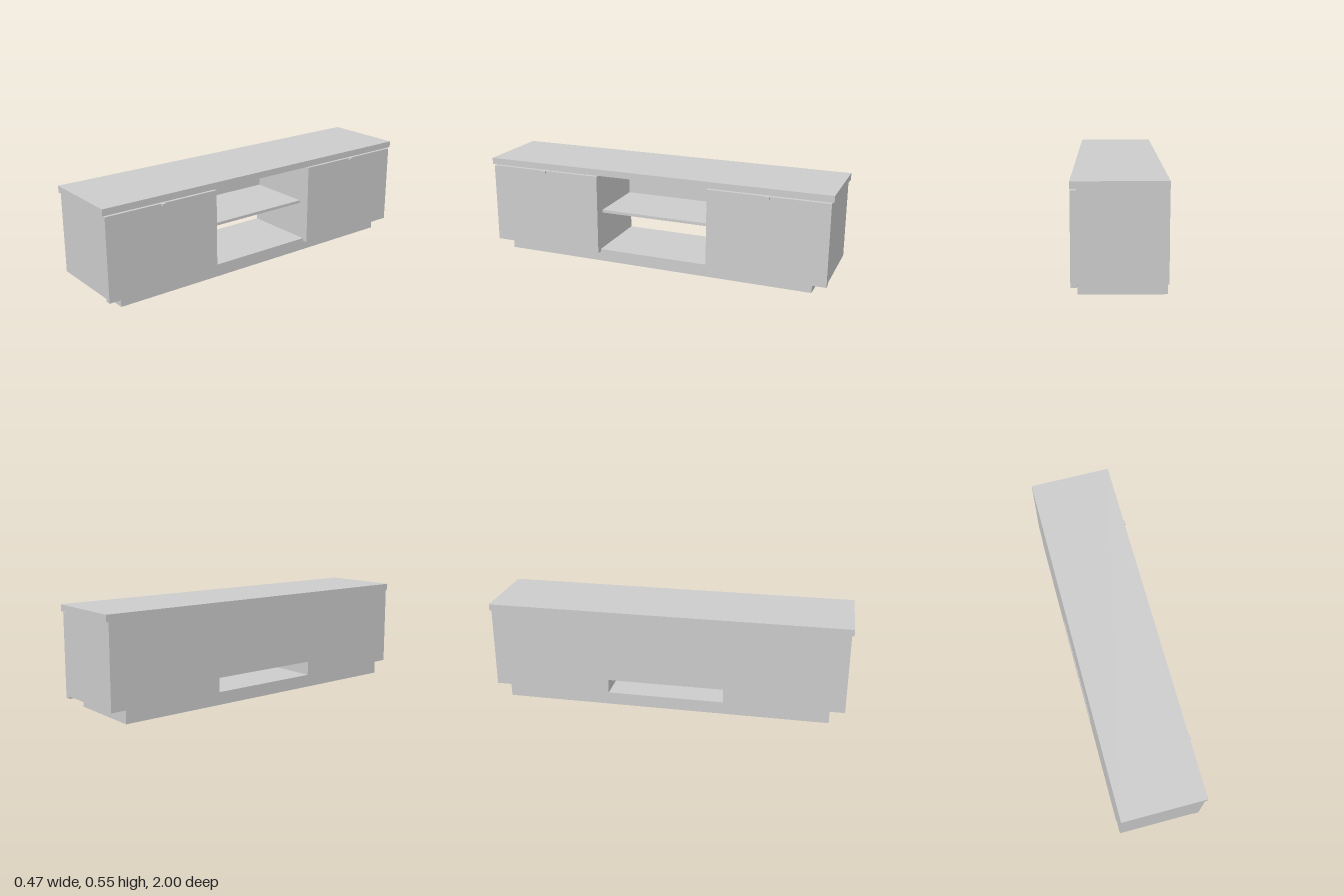
import * as THREE from 'three';

export function createModel() {
  const group = new THREE.Group();
  group.name = 'mediaConsole';
  const material = new THREE.MeshStandardMaterial({ color: 0xcccccc, flatShading: true });

  // Box given by its limits along each axis
  const panel = (name, [x0, x1], [y0, y1], [z0, z1]) => {
    const mesh = new THREE.Mesh(new THREE.BoxGeometry(x1 - x0, y1 - y0, z1 - z0), material);
    mesh.position.set((x0 + x1) / 2, (y0 + y1) / 2, (z0 + z1) / 2);
    mesh.name = name;
    group.add(mesh);
  };

  const back = -0.235, body = 0.191, front = 0.222; // depth planes, doors face +x
  const floor = 0.07, under = 0.517;                // plinth top, underside of the top
  const inner = 0.325, outer = 0.988;               // cabinet limits along z

  panel('top', [back, front], [under, 0.553], [-1, 1]);
  panel('plinth', [back, body], [0, floor], [-0.906, 0.906]);

  // Open middle bay: back panel stops short, leaving a cable slot
  panel('backPanel', [back, back + 0.018], [0.148, under], [-inner, inner]);
  panel('shelf', [back + 0.018, 0.156], [0.281, 0.297], [-inner, inner]);

  // Mirrored cabinets with overhanging doors and small pulls
  for (const side of [-1, 1]) {
    const span = (a, b) => (side > 0 ? [a, b] : [-b, -a]);
    const label = side > 0 ? 'near' : 'far';
    panel(label + 'Cabinet', [back, body], [floor, under], span(inner, outer));
    panel(label + 'Door', [body, front], [0.055, 0.51], span(inner, outer));
    panel(label + 'DoorPull', [front, 0.235], [0.498, 0.51], span(0.645, 0.669));
  }
  return group;
}
